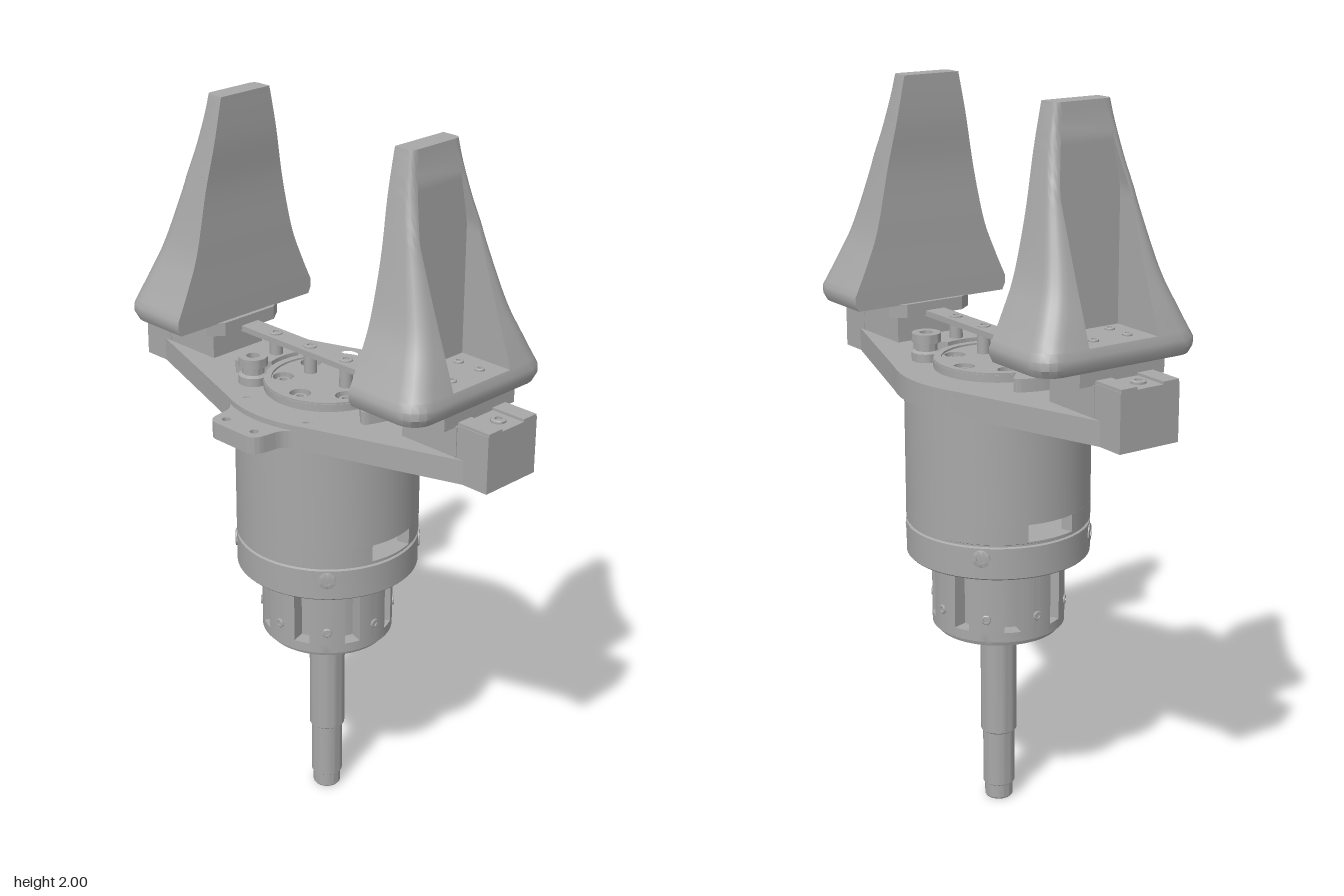
import * as THREE from 'three';
import { toCreasedNormals } from 'three/addons/utils/BufferGeometryUtils.js';

const metal = new THREE.MeshStandardMaterial({ color: 0xa8a8a8 });
metal.name = 'machined grey metal';

function add(parent, name, geo, x = 0, y = 0, z = 0) {
  const m = new THREE.Mesh(geo, metal);
  m.name = name;
  m.position.set(x, y, z);
  parent.add(m);
  return m;
}
const box = (w, h, d) => new THREE.BoxGeometry(w, h, d);
const lathe = (pts, seg = 64) =>
  toCreasedNormals(new THREE.LatheGeometry(pts.map(p => new THREE.Vector2(...p)), seg), 0.5);
const poly = pts => new THREE.Shape(pts.map(p => new THREE.Vector2(...p)));
const circle = (x, z, r) => new THREE.Path().absarc(x, z, r, 0, Math.PI * 2, true);

// Horizontal slab: shape (x, z) extruded between two heights
function slab(shape, y0, y1) {
  const g = new THREE.ExtrudeGeometry(shape, { depth: y1 - y0, bevelEnabled: false, curveSegments: 20 });
  g.rotateX(Math.PI / 2).translate(0, y1, 0);
  return toCreasedNormals(g, 0.5);
}
// Ring sector centred on angle a, measured in the x-z plane
function sector(r0, r1, a, half) {
  const s = new THREE.Shape();
  s.absarc(0, 0, r1, a - half, a + half, false);
  s.absarc(0, 0, r0, a + half, a - half, true);
  s.closePath();
  return s;
}
// Socket head screw, head pointing up
const screwGeo = (r, h = 0.008) =>
  lathe([[r, 0], [r, h * 0.7], [r * 0.85, h], [r * 0.5, h], [r * 0.5, 0.001], [0, 0.001]], 20);

// Screw on a cylinder wall, pointing outward
function radialScrew(parent, name, r, a, y, size) {
  const m = add(parent, name, screwGeo(size, 0.005), r * Math.sin(a), y, r * Math.cos(a));
  m.rotation.set(Math.PI / 2, 0, -a, 'YXZ');
  m.rotation.set(Math.PI / 2, a, 0, 'YXZ');
}

// Finger cross-section (x, z) with rounded outer corners and an outer notch
function section(w, zi, zo, r, n, zn) {
  const pts = [[-w, zi], [w, zi]], N = 5;
  for (let i = 0; i <= N; i++) {
    const t = i / N * Math.PI / 2;
    pts.push([w - r + r * Math.cos(t), zo - r + r * Math.sin(t)]);
  }
  pts.push([n, zo], [n, zn], [-n, zn], [-n, zo]);
  for (let i = N; i >= 0; i--) {
    const t = i / N * Math.PI / 2;
    pts.push([-w + r - r * Math.cos(t), zo - r + r * Math.sin(t)]);
  }
  return pts;
}
// Joins sections stacked in y into a closed solid
function loft(sections, ys) {
  const pos = [], idx = [], n = sections[0].length;
  sections.forEach((s, k) => s.forEach(p => pos.push(p[0], ys[k], p[1])));
  for (let k = 0; k < ys.length - 1; k++)
    for (let i = 0; i < n; i++) {
      const j = (i + 1) % n, a = k * n + i, b = k * n + j;
      idx.push(a, b + n, b, a, a + n, b + n);
    }
  for (const k of [0, ys.length - 1])
    for (const [a, b, c] of THREE.ShapeUtils.triangulateShape(sections[k].map(p => new THREE.Vector2(...p)), [])) {
      const o = k * n;
      if (k === 0) idx.push(a, b, c); else idx.push(o + a, o + c, o + b);
    }
  const g = new THREE.BufferGeometry();
  g.setAttribute('position', new THREE.Float32BufferAttribute(pos, 3));
  g.setIndex(idx);
  return toCreasedNormals(g, 0.5);
}
// Smooth curve through [y, value] pairs
function curveOf(pairs) {
  const c = new THREE.SplineCurve(pairs.map(p => new THREE.Vector2(...p)));
  const pts = c.getPoints(120);
  return y => {
    let i = 1;
    while (i < pts.length - 1 && pts[i].x < y) i++;
    const a = pts[i - 1], b = pts[i];
    return a.y + (b.y - a.y) * THREE.MathUtils.clamp((y - a.x) / (b.x - a.x), 0, 1);
  };
}

function makeFinger() {
  const g = new THREE.Group();
  const width = curveOf([[1.42, 0.245], [1.5, 0.208], [1.6, 0.17], [1.8, 0.127], [1.93, 0.1], [2, 0.085]]);
  const outer = curveOf([[1.42, 0.54], [1.5, 0.513], [1.6, 0.476], [1.8, 0.408], [1.93, 0.374], [2, 0.365]]);
  const inner = curveOf([[1.42, 0.317], [1.6, 0.318], [1.75, 0.318], [1.88, 0.309], [2, 0.307]]);
  const at = (y, notched) => {
    const w = width(y), zo = outer(y), n = Math.min(0.105, w - 0.025);
    const r = Math.min(0.065, (zo - inner(y)) * 0.28, w - n - 0.002);
    return section(w, inner(y), zo, r, n, notched ? Math.min(0.375, zo) : zo);
  };
  // Foot, closed across its whole width
  add(g, 'fingerFoot', loft([section(0.235, 0.317, 0.53, 0.055, 0.1, 0.53), at(1.40), at(1.42), at(1.44)],
    [1.38, 1.40, 1.42, 1.44]));
  // Tapering blade with the recess in its outer face
  const ys = Array.from({ length: 29 }, (_, i) => 1.44 + 0.02 * i);
  add(g, 'fingerBlade', loft(ys.map(y => at(y, true)), ys));
  for (const x of [-0.052, 0.052]) for (const z of [0.41, 0.48])
    add(g, 'fingerScrew', screwGeo(0.013, 0.006), x, 1.44, z);
  // Carriage under the finger
  add(g, 'carriageTop', slab(poly([[-0.09, 0.305], [0.09, 0.305], [0.13, 0.335], [0.13, 0.53], [-0.13, 0.53], [-0.13, 0.335]]), 1.345, 1.382));
  add(g, 'carriageSlide', box(0.18, 0.085, 0.18), 0, 1.305, 0.445);
  return g;
}

export function createModel() {
  const root = new THREE.Group();
  const g = new THREE.Group();
  g.name = 'gripper';
  g.position.x = 0.04;
  root.add(g);

  // Drive shaft
  add(g, 'shaft', lathe([[0, 0], [0.036, 0], [0.039, 0.004], [0.039, 0.042], [0.044, 0.046], [0.044, 0.205],
    [0.05, 0.21], [0.05, 0.56], [0, 0.56]], 40));

  // Lower hub with lobes, screws and a recessed underside
  add(g, 'hub', lathe([[0.05, 0.545], [0.12, 0.545], [0.125, 0.53], [0.168, 0.53], [0.172, 0.543], [0.182, 0.545],
    [0.182, 0.572], [0.142, 0.572], [0.142, 0.75]]));
  for (let i = 0; i < 8; i++) {
    const a = i * Math.PI / 4;
    add(g, 'hubLobe', slab(sector(0.13, 0.182, a, 0.27), 0.57, 0.752));
    radialScrew(g, 'hubScrew', 0.182, a, 0.61, 0.013);
  }
  for (let i = 0; i < 12; i++) {
    const a = i * Math.PI / 6;
    add(g, 'hubBottomScrew', screwGeo(0.01, 0.004), 0.147 * Math.cos(a), 0.53, 0.147 * Math.sin(a)).rotation.x = Math.PI;
  }

  // Clamp flange with four screws
  add(g, 'flange', lathe([[0, 0.75], [0.246, 0.75], [0.25, 0.754], [0.25, 0.838], [0.244, 0.841], [0.244, 0.846],
    [0.25, 0.849], [0.25, 0.853], [0, 0.853]]));
  for (let i = 0; i < 4; i++)
    radialScrew(g, 'flangeScrew', 0.249, Math.PI / 4 + i * Math.PI / 2, 0.81, 0.024);

  // Hollow housing with a window in front and behind
  for (const a of [0, Math.PI])
    add(g, 'housingNeck', slab(sector(0.215, 0.25, a, Math.PI / 2 - 0.284), 0.853, 0.901));
  add(g, 'housing', lathe([[0.215, 0.9], [0.25, 0.9], [0.25, 1.2], [0.215, 1.2], [0.215, 0.9]]));

  // Base plate: pocketed lower layer and drilled upper layer
  const outline = () => {
    const s = new THREE.Shape();
    s.moveTo(0.09, 0.56);
    s.lineTo(0.235, 0.14);
    s.quadraticCurveTo(0.295, 0, 0.235, -0.14);
    s.lineTo(0.09, -0.56);
    s.lineTo(-0.09, -0.56);
    s.lineTo(-0.235, -0.14);
    s.quadraticCurveTo(-0.295, 0, -0.235, 0.14);
    s.lineTo(-0.09, 0.56);
    s.closePath();
    return s;
  };
  const edge = z => 0.235 - 0.345 * (z - 0.14) - 0.02;
  const lower = outline(), upper = outline();
  for (const sx of [-1, 1]) for (const sz of [-1, 1]) {
    for (const [z0, z1] of [[0.27, 0.38], [0.4, 0.53]])
      lower.holes.push(poly([[sx * 0.012, sz * z0], [sx * edge(z0), sz * z0], [sx * edge(z1), sz * z1], [sx * 0.012, sz * z1]]));
    upper.holes.push(circle(sx * 0.19, sz * 0.113, 0.028));
    add(g, 'plateScrew', screwGeo(0.021, 0.012), sx * 0.19, 1.24, sz * 0.113);
  }
  add(g, 'plateRibs', slab(lower, 1.2, 1.24));
  add(g, 'plateTop', slab(upper, 1.24, 1.265));

  // Side tab with two holes
  const tab = new THREE.Shape();
  tab.moveTo(-0.2, 0.16);
  tab.lineTo(-0.235, 0.14);
  tab.quadraticCurveTo(-0.25, 0.095, -0.29, 0.093);
  tab.lineTo(-0.315, 0.09);
  tab.quadraticCurveTo(-0.35, 0.085, -0.35, 0.055);
  tab.lineTo(-0.35, -0.055);
  tab.quadraticCurveTo(-0.35, -0.085, -0.315, -0.09);
  tab.lineTo(-0.29, -0.093);
  tab.quadraticCurveTo(-0.25, -0.095, -0.235, -0.14);
  tab.lineTo(-0.2, -0.16);
  tab.holes.push(circle(-0.316, 0.053, 0.012), circle(-0.316, -0.053, 0.012));
  add(g, 'sideTab', slab(tab, 1.203, 1.25));

  // Central disc with a ring of sunken screws
  const disc = new THREE.Shape().absarc(0, 0, 0.172, 0, Math.PI * 2, false);
  for (let i = 0; i < 6; i++) {
    const a = -0.14 + i * Math.PI / 3, x = 0.12 * Math.cos(a), z = 0.12 * Math.sin(a);
    disc.holes.push(circle(x, z, 0.028));
    add(g, 'discScrew', screwGeo(0.021, 0.012), x, 1.265, z);
  }
  add(g, 'centreDisc', slab(disc, 1.262, 1.285));
  add(g, 'centreRing', lathe([[0.135, 1.284], [0.152, 1.284], [0.152, 1.29], [0.135, 1.29], [0.135, 1.284]]).scale(1.12, 1, 1.12));

  // Tall bosses on one diagonal
  for (const s of [-1, 1])
    add(g, 'boss', lathe([[0.04, 0], [0.04, 0.025], [0.03, 0.03], [0.03, 0.05], [0.039, 0.052], [0.039, 0.077],
      [0.018, 0.077], [0.018, 0.05], [0, 0.05]], 28), s * 0.122, 1.263, s * 0.16);

  // Fan-shaped pads, guide ends and fingers, one set per side
  for (const [side, turn] of [['front', 0], ['back', Math.PI]]) {
    const half = new THREE.Group();
    half.name = side + 'Jaw';
    half.rotation.y = turn;
    g.add(half);
    const pad = new THREE.Shape();
    pad.moveTo(-0.05, 0.165);
    pad.quadraticCurveTo(0, 0.18, 0.05, 0.165);
    pad.lineTo(0.112, 0.23);
    pad.quadraticCurveTo(0.115, 0.245, 0.1, 0.25);
    pad.quadraticCurveTo(0, 0.295, -0.1, 0.25);
    pad.quadraticCurveTo(-0.115, 0.245, -0.112, 0.23);
    add(half, 'fanPad', slab(pad, 1.263, 1.3));
    // End block with a shallow channel and a screw
    add(half, 'endBlock', box(0.18, 0.153, 0.1), 0, 1.2765, 0.587);
    for (const s of [-1, 1]) add(half, 'endBlockCheek', box(0.048, 0.16, 0.1), s * 0.064, 1.28, 0.587);
    add(half, 'endScrew', screwGeo(0.02), 0, 1.353, 0.59);
    const finger = makeFinger();
    finger.name = side + 'Finger';
    half.add(finger);
  }

  // Guide rail between the fingers
  add(g, 'guideRail', box(0.06, 0.016, 0.66), 0, 1.35, 0);
  for (const z of [-0.2, -0.067, 0.067, 0.2]) {
    add(g, 'railPost', new THREE.CylinderGeometry(0.018, 0.018, 0.08, 20), 0, 1.305, z);
    add(g, 'railScrew', screwGeo(0.018, 0.005), 0, 1.358, z);
  }
  return root;
}
